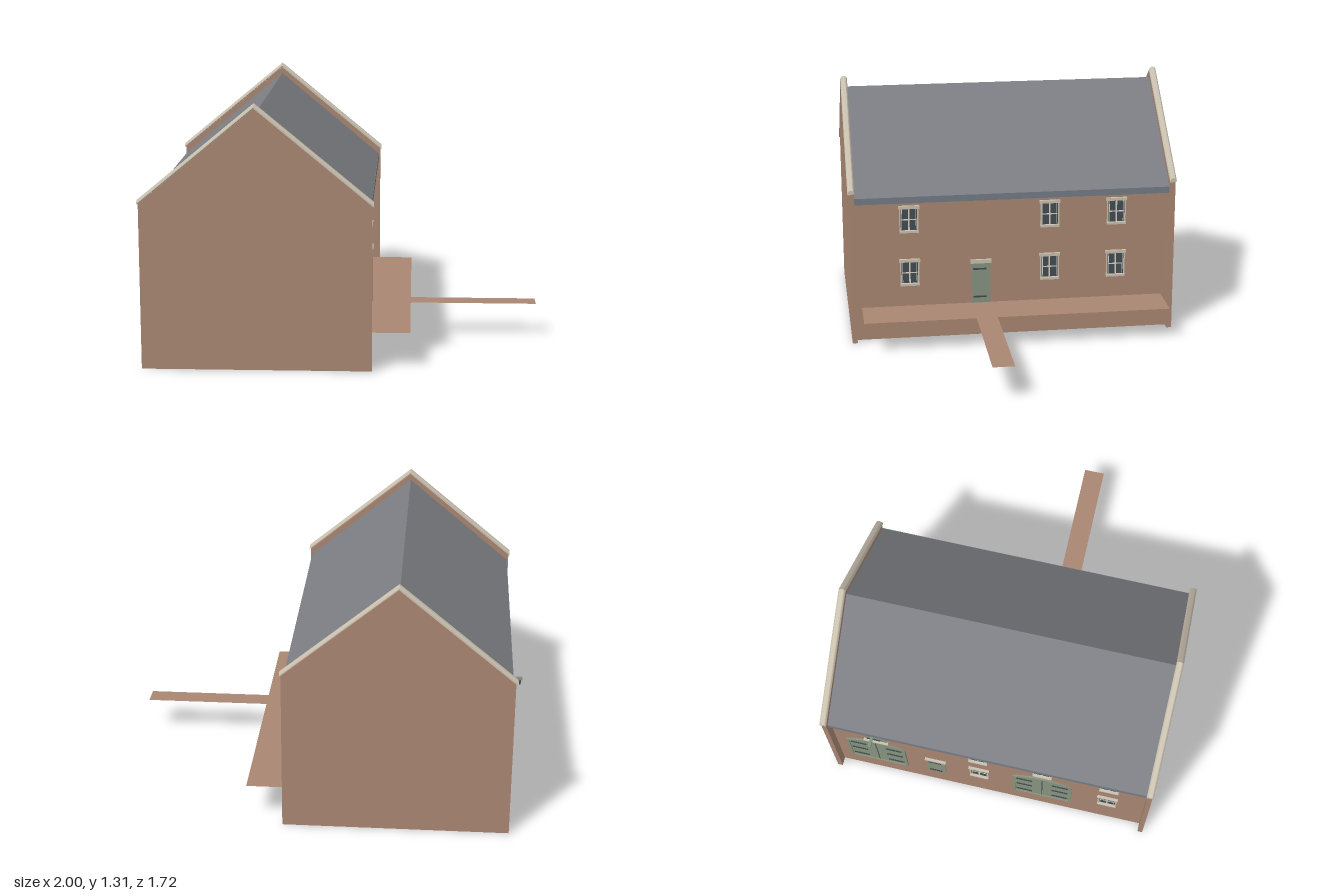
import * as THREE from 'three';
import { toCreasedNormals } from 'three/addons/utils/BufferGeometryUtils.js';

const mat = (name, color, side = THREE.FrontSide) => {
  const m = new THREE.MeshStandardMaterial({ color, side });
  m.name = name;
  return m;
};

export function createModel() {
  const M = {
    brick: mat('brick', 0xa98672, THREE.DoubleSide),
    slate: mat('slate', 0x7c7e83),
    stone: mat('stone', 0xcac1b0),
    door: mat('door green', 0x87947f),
    glass: mat('glass', 0x434d54),
    bar: mat('window bar', 0xd9d3c5),
    iron: mat('iron', 0x3f484e),
    gutter: mat('eaves grey', 0x747c86),
  };
  const model = new THREE.Group();
  model.name = 'house';
  const RIDGE = -0.3975, EAST = 0.12, WEST = -0.915;

  const add = (parent, name, geo, material, x = 0, y = 0, z = 0) => {
    const m = new THREE.Mesh(geo, material);
    m.name = name;
    m.position.set(x, y, z);
    parent.add(m);
    return m;
  };
  const box = (parent, name, material, w, h, d, x, y, z) =>
    add(parent, name, new THREE.BoxGeometry(w, h, d), material, x, y, z);
  const poly = (pts) => new THREE.Shape(pts.map(([x, y]) => new THREE.Vector2(x, y)));
  const extrude = (shape, depth) =>
    new THREE.ExtrudeGeometry(shape, { depth, bevelEnabled: false, curveSegments: 16 });

  // Gable end walls with rounded sloping copings
  const gable = poly([[-0.96, 0], [0.165, 0], [0.165, 0.82], [RIDGE, 1.285], [-0.96, 0.82]]);
  const cap = new THREE.Shape();
  cap.moveTo(0.018, 0);
  cap.absellipse(0, 0.006, 0.018, 0.019, 0, Math.PI, false, 0);
  cap.lineTo(-0.018, 0);
  for (const end of [1, -1]) {
    add(model, 'gableWall', extrude(gable, 0.026), M.brick, 0, 0, end * 0.842 - 0.013);
    for (const side of [1, -1]) {
      const geo = extrude(cap, 0.569).rotateY(Math.PI / 2);
      if (side < 0) geo.rotateY(Math.PI);
      const p = geo.attributes.position;
      for (let i = 0; i < p.count; i++) p.setY(i, p.getY(i) - 0.827 * Math.abs(p.getX(i)));
      add(model, 'coping', toCreasedNormals(geo, 0.6), M.stone, RIDGE, 1.285, end * 0.842);
    }
  }

  // Long walls, open underneath
  for (const x of [EAST - 0.006, WEST + 0.006])
    box(model, 'longWall', M.brick, 0.012, 0.78, 1.66, x, 0.39, 0);

  // Slate roof slab and eaves boards
  const roof = poly([[-0.95, 0.79], [-0.95, 0.757], [RIDGE, 1.217], [0.155, 0.757], [0.155, 0.79], [RIDGE, 1.252]]);
  add(model, 'roof', extrude(roof, 1.65), M.slate, 0, 0, -0.825);
  for (const x of [-0.95, 0.155])
    box(model, 'eavesBoard', M.gutter, 0.004, 0.034, 1.65, x, 0.773, 0);

  // Flat terrace with a path leading away
  const terrace = poly([[EAST, 0.8], [EAST, -0.8], [0.35, -0.8], [0.35, -0.22], [1, -0.22],
    [1, -0.11], [0.35, -0.11], [0.35, 0.8]]);
  add(model, 'terrace', new THREE.ShapeGeometry(terrace).rotateX(-Math.PI / 2), M.brick, 0, 0.18, 0);

  // Holder on a long wall: local +z points out of the wall
  const onWall = (name, side, z, y) => {
    const g = new THREE.Group();
    g.name = name;
    g.position.set(side > 0 ? EAST : WEST, y, z);
    g.rotation.y = side * Math.PI / 2;
    model.add(g);
    return g;
  };
  const hinge = (g, x, y, w = 0.07) => box(g, 'hinge', M.iron, w, 0.008, 0.005, x, y, 0.007);

  // Window, y measured at the sill
  const window = (side, z, y) => {
    const g = onWall('window', side, z, y);
    box(g, 'glass', M.glass, 0.086, 0.122, 0.018, 0, 0.074, -0.007);
    for (const s of [-1, 1]) {
      box(g, 'jamb', M.stone, 0.007, 0.12, 0.012, s * 0.0465, 0.074, 0.002);
      box(g, 'sashStile', M.bar, 0.003, 0.115, 0.022, s * 0.037, 0.074, -0.007);
    }
    box(g, 'verticalBar', M.bar, 0.008, 0.12, 0.022, 0, 0.074, -0.007);
    box(g, 'horizontalBar', M.bar, 0.08, 0.006, 0.022, 0, 0.07, -0.007);
    box(g, 'lintel', M.stone, 0.11, 0.016, 0.018, 0, 0.138, 0.004);
    box(g, 'sill', M.stone, 0.1, 0.012, 0.02, 0, 0.006, 0.005);
  };
  for (const y of [0.295, 0.587]) {
    for (const z of [0.545, -0.195, -0.55]) window(1, z, y);
    for (const z of [0.635, -0.055]) window(-1, z, y);
  }
  window(-1, 0.285, 0.587);

  // Single doors
  const singleDoor = (side, z) => {
    const g = onWall('door', side, z, 0.18);
    box(g, 'doorLeaf', M.door, 0.098, 0.222, 0.02, 0, 0.111, -0.006);
    box(g, 'doorLintel', M.stone, 0.112, 0.02, 0.018, 0, 0.232, 0.004);
    for (const y of [0.035, 0.19]) hinge(g, -0.006, y);
  };
  singleDoor(1, 0.17);
  singleDoor(-1, -0.29);

  // Wide arched double doors
  const archShape = (w, spring, top) => {
    const s = poly([[-w, 0], [w, 0], [w, spring]]);
    s.quadraticCurveTo(0, 2 * top - spring, -w, spring);
    return s;
  };
  for (const z of [-0.61, 0.285]) {
    const g = onWall('archedDoor', -1, z, 0.18);
    add(g, 'doorLeaves', extrude(archShape(0.145, 0.285, 0.335), 0.02), M.door, 0, 0, -0.016);
    const surround = archShape(0.158, 0.293, 0.35);
    surround.holes.push(archShape(0.145, 0.285, 0.335));
    add(g, 'archSurround', extrude(surround, 0.022), M.door, 0, 0, -0.012);
    box(g, 'doorGap', M.iron, 0.004, 0.325, 0.003, 0, 0.165, 0.004);
    for (const s of [-1, 1])
      for (const y of [0.05, 0.16, 0.26]) hinge(g, s * 0.095, y, 0.085);
  }

  // Loading hatch with hoist beam and hook
  const hatch = onWall('loadingHatch', -1, -0.6, 0.55);
  box(hatch, 'hatchLeaf', M.door, 0.11, 0.14, 0.02, 0, 0.075, -0.006);
  box(hatch, 'hatchLintel', M.stone, 0.134, 0.014, 0.018, 0, 0.152, 0.004);
  box(hatch, 'hatchSill', M.stone, 0.13, 0.01, 0.02, 0, 0.005, 0.005);
  for (const y of [0.035, 0.115]) hinge(hatch, -0.01, y);
  box(hatch, 'hoistBeam', M.door, 0.014, 0.016, 0.085, 0, 0.178, 0.0425);
  add(hatch, 'hoistHook', new THREE.CylinderGeometry(0.004, 0.004, 0.024, 8), M.iron, 0, 0.16, 0.074);

  return model;
}
